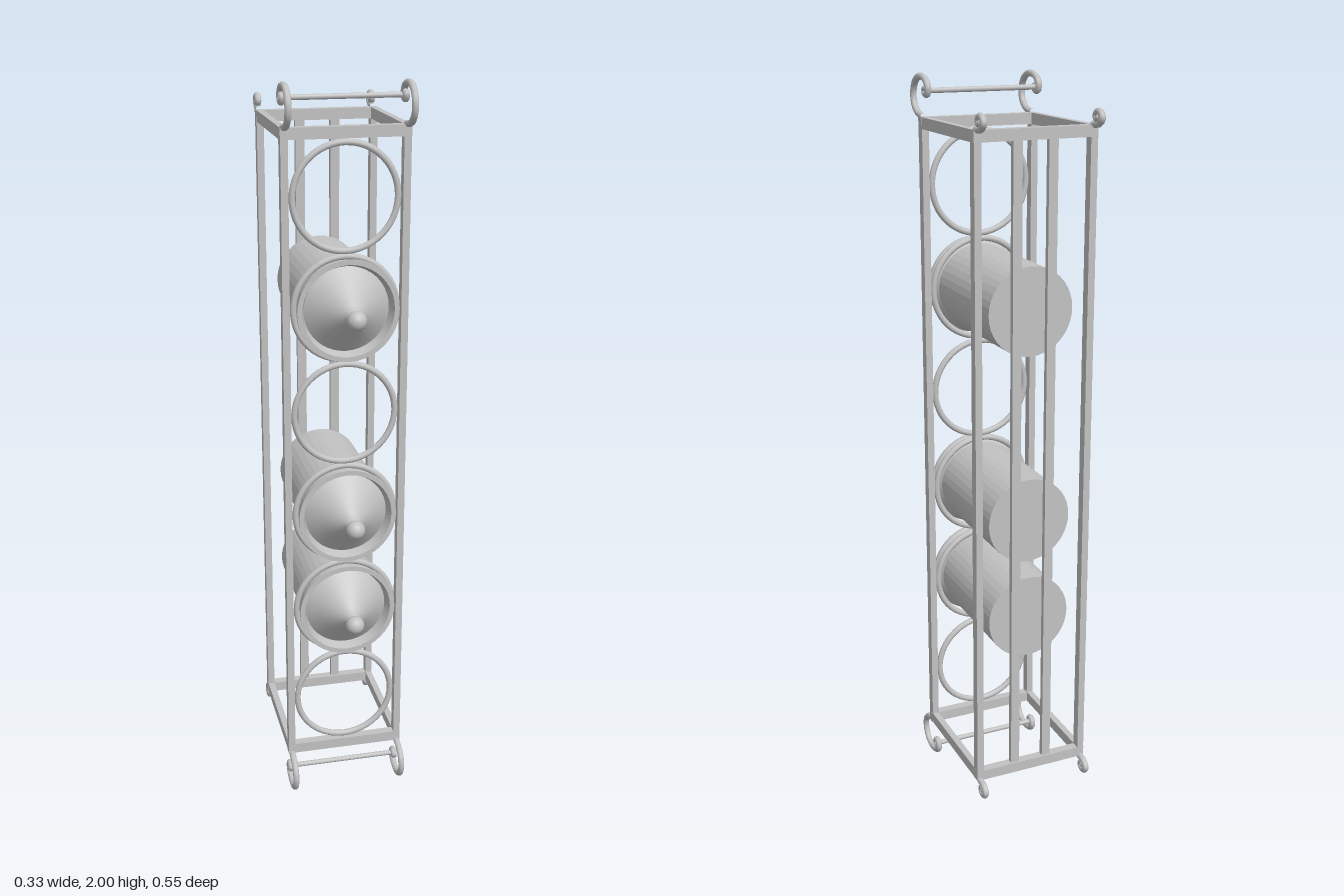
import * as THREE from 'three';

const BOTTOM = 0.111, TOP = 1.891, MID = (BOTTOM + TOP) / 2;
const FRONT = 0.12, BACK = -0.222, BAR = 0.025, SIDE = 0.156;

export function createModel() {
  const group = new THREE.Group();
  const metal = new THREE.MeshStandardMaterial({ color: 0xc2c2c2 });

  const add = (name, geometry, x = 0, y = 0, z = 0, parent = group) => {
    const mesh = new THREE.Mesh(geometry, metal);
    mesh.name = name;
    mesh.position.set(x, y, z);
    parent.add(mesh);
    return mesh;
  };
  const box = (name, w, h, d, x, y, z) => add(name, new THREE.BoxGeometry(w, h, d), x, y, z);

  // Rectangular frame: four posts, cross bars and side rails
  for (const x of [-SIDE, SIDE]) {
    for (const z of [FRONT, BACK]) box('post', 0.019, TOP - BOTTOM, BAR, x, MID, z);
    for (const y of [BOTTOM + 0.015, TOP - 0.015])
      box('sideRail', 0.018, 0.03, FRONT - BACK, x, y, (FRONT + BACK) / 2);
  }
  for (const z of [FRONT, BACK])
    for (const y of [BOTTOM + 0.015, TOP - 0.015]) box('crossBar', 0.332, 0.029, BAR, 0, y, z);

  // Upright slats at the back
  for (const x of [-0.048, 0.048]) box('backSlat', 0.025, TOP - BOTTOM - 0.03, 0.014, x, MID, BACK);

  // Scrolls on all corners, given as [z, y] above the frame, mirrored at the bottom
  const frontScroll = [
    [0.12, 0], [0.14, 0.002], [0.165, 0.01], [0.186, 0.03], [0.191, 0.056],
    [0.179, 0.082], [0.153, 0.098], [0.122, 0.099], [0.097, 0.09], [0.085, 0.074],
    [0.09, 0.059], [0.104, 0.058], [0.11, 0.068], [0.1, 0.073],
  ];
  const backScroll = [
    [-0.225, 0], [-0.24, 0.001], [-0.258, 0.005], [-0.27, 0.018], [-0.262, 0.031],
    [-0.246, 0.032], [-0.238, 0.021], [-0.246, 0.013], [-0.253, 0.018],
  ];
  for (const dir of [1, -1]) {
    const base = dir > 0 ? TOP : BOTTOM;
    for (const [name, points] of [['frontScroll', frontScroll], ['backScroll', backScroll]]) {
      const curve = new THREE.CatmullRomCurve3(
        points.map(([z, y]) => new THREE.Vector3(0, base + dir * y, z)));
      const [endZ, endY] = points[points.length - 1];
      for (const x of [-SIDE, SIDE]) {
        add(name, new THREE.TubeGeometry(curve, 56, 0.0088, 10), x);
        add(name + 'Tip', new THREE.SphereGeometry(0.009, 10, 8), x, base + dir * endY, endZ);
      }
    }
    // Thin rod joining the two front scrolls
    const rod = add('scrollRod', new THREE.CylinderGeometry(0.007, 0.007, 2 * SIDE, 12),
      0, base + dir * 0.067, 0.096);
    rod.rotation.z = Math.PI / 2;
  }

  // Column of six holding rings
  for (let i = 0; i < 6; i++)
    add('holdingRing', new THREE.TorusGeometry(0.136, 0.0085, 10, 48), 0, 0.287 + i * 0.2857, FRONT);

  // Jars lying through three of the rings
  const bodyGeometry = new THREE.CylinderGeometry(0.117, 0.117, 0.337, 40).toNonIndexed();
  bodyGeometry.computeVertexNormals();
  const lathe = (points) =>
    new THREE.LatheGeometry(points.map(([r, y]) => new THREE.Vector2(r, y)), 40);
  const rimParts = [
    [[0.115, 0.126], [0.12, 0.131], [0.134, 0.155]],
    [[0.134, 0.155], [0.134, 0.163]],
    [[0.134, 0.163], [0.121, 0.163]],
    [[0.121, 0.163], [0.112, 0.135]],
  ];
  const cone = [[0.112, 0.134], [0.075, 0.164], [0.03, 0.209], [0.02, 0.222], [0.017, 0.235]];
  for (const y of [0.577, 0.861, 1.432]) {
    const jar = new THREE.Group();
    jar.name = 'jar';
    jar.position.y = y;
    jar.rotation.x = Math.PI / 2;
    group.add(jar);
    add('jarBody', bodyGeometry, 0, -0.0385, 0, jar);
    for (const part of rimParts) add('lidRim', lathe(part), 0, 0, 0, jar);
    add('lidCone', lathe(cone), 0, 0, 0, jar);
    add('lidKnob', new THREE.SphereGeometry(0.0255, 24, 16), 0, 0.25, 0, jar);
  }

  return group;
}
